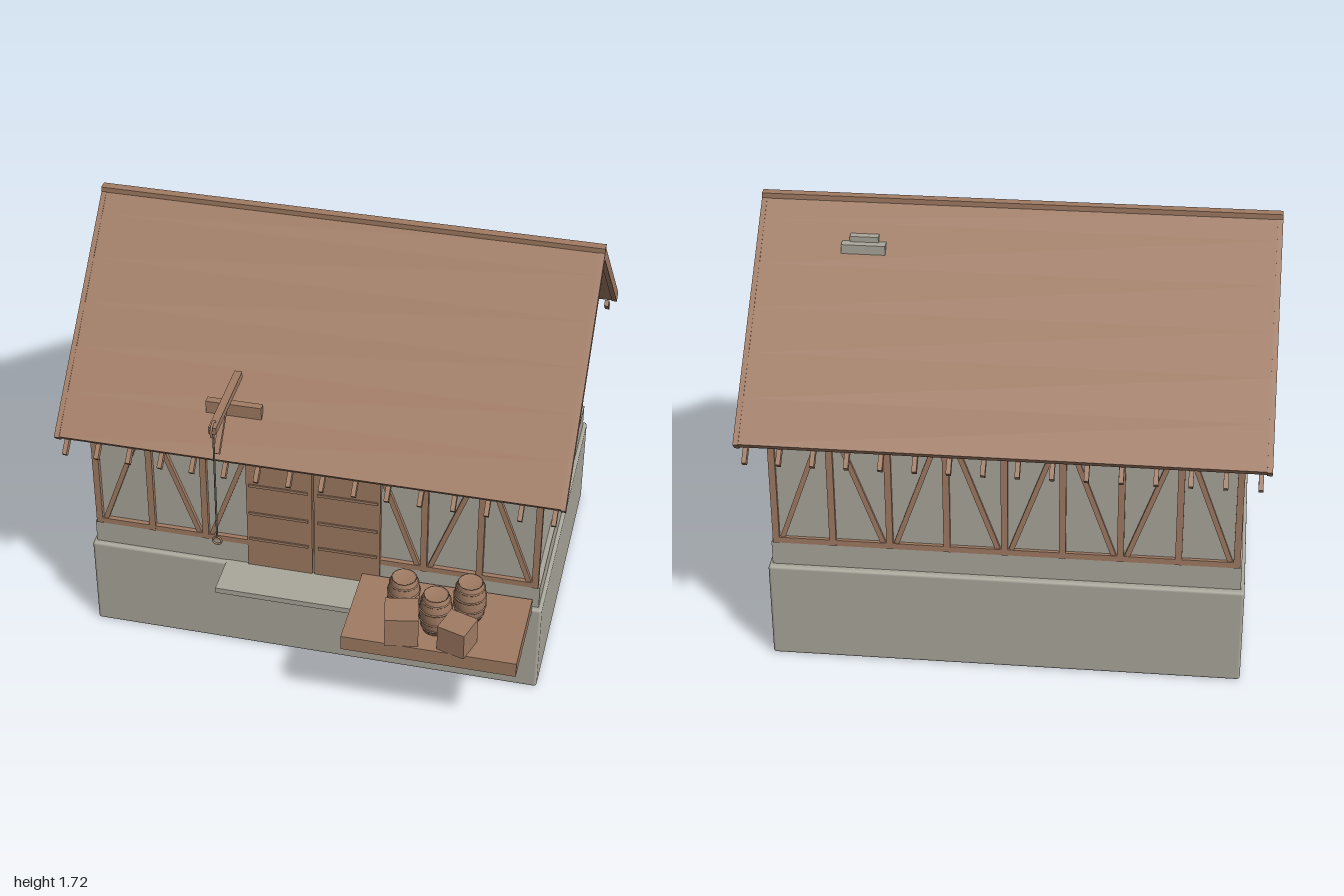
import * as THREE from 'three';
import { RoundedBoxGeometry } from 'three/addons/geometries/RoundedBoxGeometry.js';

const material = (name, color) => {
  const m = new THREE.MeshStandardMaterial({ color });
  m.name = name;
  return m;
};

export function createModel() {
  const wood = material('wood', 0xa07b63);
  const stone = material('stone', 0xaaa79c);
  const iron = material('iron', 0x6f6a62);
  const model = new THREE.Group();
  model.name = 'storehouse';

  const add = (parent, name, geometry, mat, x = 0, y = 0, z = 0) => {
    const mesh = new THREE.Mesh(geometry, mat);
    mesh.name = name;
    mesh.position.set(x, y, z);
    parent.add(mesh);
    return mesh;
  };
  // Box given by its two extreme corners
  const block = (parent, name, mat, x0, x1, y0, y1, z0, z1) =>
    add(parent, name, new THREE.BoxGeometry(x1 - x0, y1 - y0, z1 - z0), mat,
      (x0 + x1) / 2, (y0 + y1) / 2, (z0 + z1) / 2);
  const group = (parent, name) => {
    const g = new THREE.Group();
    g.name = name;
    parent.add(g);
    return g;
  };

  // Stone foundation and plinth
  const midZ = -0.135;
  add(model, 'foundation', new RoundedBoxGeometry(1.85, 0.41, 1.27, 2, 0.012), stone, 0, 0.205, midZ);
  block(model, 'plinth', stone, -0.91, 0.91, 0.4, 0.51, -0.745, 0.48);

  // Walls with gables, one pentagon swept along x
  const gable = new THREE.Shape([
    [-0.735, 0.5], [0.465, 0.5], [0.465, 1.125], [midZ, 1.68], [-0.735, 1.125],
  ].map(([z, y]) => new THREE.Vector2(z, y)));
  const walls = new THREE.ExtrudeGeometry(gable, { depth: 1.78, bevelEnabled: false });
  walls.translate(0, 0, -0.89).rotateY(-Math.PI / 2);
  add(model, 'walls', walls, stone);

  // Timber frame: posts, rails and alternating braces
  const bay = 0.2225;
  const timberFrame = (name, z, hasDoor) => {
    const frame = group(model, name);
    for (let i = 0; i <= 8; i++) {
      if (hasDoor && i > 2 && i < 6) continue;
      const x = -0.89 + i * bay;
      block(frame, 'post', wood, x - 0.013, x + 0.013, 0.51, 1.13, z - 0.013, z + 0.013);
    }
    for (let i = 0; i < 8; i++) {
      if (hasDoor && i > 2 && i < 5) continue;
      const side = i % 2 ? -1 : 1;
      const run = 0.17, rise = 0.48;
      const brace = add(frame, 'brace', new THREE.BoxGeometry(0.02, Math.hypot(run, rise), 0.018), wood,
        -0.89 + (i + 0.5) * bay, 0.775, z);
      brace.rotation.z = -side * Math.atan2(run, rise);
    }
    const spans = hasDoor ? [[-0.89, -0.27], [0.27, 0.89]] : [[-0.89, 0.89]];
    for (const [a, b] of spans) {
      block(frame, 'lowerRail', wood, a, b, 0.51, 0.535, z - 0.012, z + 0.012);
      block(frame, 'upperRail', wood, a, b, 1.02, 1.045, z - 0.012, z + 0.012);
    }
  };
  timberFrame('frontFrame', 0.472, true);
  timberFrame('backFrame', -0.737, false);

  // Double front door with battens, lintel and doorstep
  const door = group(model, 'frontDoor');
  for (const s of [-1, 1]) {
    add(door, 'doorLeaf', new THREE.BoxGeometry(0.266, 0.55, 0.025), wood, s * 0.137, 0.685, 0.475);
    for (const y of [0.55, 0.68, 0.82, 0.94]) {
      add(door, 'batten', new THREE.BoxGeometry(0.24, 0.012, 0.006), wood, s * 0.14, y, 0.49);
    }
  }
  block(model, 'frontLintel', stone, -0.32, 0.32, 0.96, 1.01, 0.46, 0.515);
  block(model, 'doorstep', stone, -0.36, 0.36, 0.388, 0.412, 0.48, 0.66);

  // Side door on the left gable
  block(model, 'sideDoor', wood, 0.88, 0.905, 0.505, 0.76, -0.39, -0.22);
  block(model, 'sideLintel', stone, 0.88, 0.922, 0.76, 0.79, -0.43, -0.18);

  // Roof slopes with overlapping courses, edge boards and rafter tails
  const roof = group(model, 'roof');
  roof.position.set(0, 1.712, midZ);
  const slopeLength = 1.015, pitch = Math.atan2(0.69, 0.75);
  for (const turn of [0, Math.PI]) {
    const side = group(roof, turn ? 'backSlope' : 'frontSlope');
    side.rotation.y = turn;
    const slope = group(side, 'slope');
    slope.rotation.x = pitch;
    block(slope, 'roofDeck', wood, -0.985, 0.985, -0.035, -0.004, 0, slopeLength);
    const course = 0.181;
    for (let i = 0; i < 6; i++) {
      const end = slopeLength - i * course;
      const start = Math.max(0, end - course);
      const plank = block(slope, 'roofCourse', wood, -0.985, 0.985, -0.006, 0.002, start, end);
      plank.rotation.x = 0.02;
    }
    for (const x of [-0.99, 0.99]) {
      block(slope, 'edgeBoard', wood, x - 0.01, x + 0.01, -0.037, 0.004, 0, slopeLength + 0.004);
    }
    for (let i = 0; i < 16; i++) {
      add(slope, 'rafterTail', new THREE.BoxGeometry(0.018, 0.026, 0.08), wood, -0.96 + i * 0.128, -0.053, 1.034);
    }
  }
  block(model, 'ridgeCap', wood, -1, 1, 1.695, 1.72, -0.153, -0.117);

  // Small stone vent on the back slope
  block(model, 'ventBase', stone, 0.5, 0.67, 1.55, 1.59, -0.31, -0.27);
  block(model, 'ventTop', stone, 0.53, 0.64, 1.575, 1.612, -0.28, -0.25);

  // Hoist with beam, brace, pulley, rope and ring
  const hoist = group(model, 'hoist');
  hoist.position.x = -0.31;
  block(hoist, 'backPlate', wood, -0.11, 0.11, 0.945, 1.2, 0.455, 0.485);
  block(hoist, 'beam', wood, -0.015, 0.015, 1.27, 1.3, 0.4, 0.77);
  const strut = add(hoist, 'strut', new THREE.BoxGeometry(0.022, 0.022, 0.17), wood, 0, 1.208, 0.667);
  strut.rotation.x = 0.83;
  const pulley = add(hoist, 'pulley', new THREE.TorusGeometry(0.029, 0.005, 8, 24), wood, 0, 1.285, 0.757);
  pulley.rotation.y = Math.PI / 2;
  const rope = new THREE.LineCurve3(new THREE.Vector3(0, 1.275, 0.757), new THREE.Vector3(0, 0.77, 0.765));
  add(hoist, 'rope', new THREE.TubeGeometry(rope, 1, 0.004, 8), iron);
  add(hoist, 'hookRing', new THREE.TorusGeometry(0.017, 0.004, 8, 20), wood, 0, 0.755, 0.765);

  // Loading platform with barrels and crates
  const platformTop = 0.455;
  block(model, 'platform', wood, 0.2, 0.885, 0.39, platformTop, 0.49, 0.868);
  const barrelProfile = [[0, 0], [0.05, 0], [0.06, 0.04], [0.064, 0.085], [0.06, 0.13], [0.05, 0.17], [0.046, 0.17],
    [0.045, 0.163], [0, 0.163]].map(([r, y]) => new THREE.Vector2(r, y));
  for (const [x, z] of [[0.405, 0.665], [0.66, 0.635], [0.545, 0.735]]) {
    const barrel = group(model, 'barrel');
    barrel.position.set(x, platformTop, z);
    add(barrel, 'staves', new THREE.LatheGeometry(barrelProfile, 20), wood);
    for (const [r, y] of [[0.055, 0.022], [0.062, 0.06], [0.062, 0.11], [0.055, 0.148]]) {
      const hoop = add(barrel, 'hoop', new THREE.TorusGeometry(r, 0.004, 6, 20), wood, 0, y, 0);
      hoop.rotation.x = Math.PI / 2;
    }
  }
  for (const [x, z, size, turn] of [[0.425, 0.805, 0.13, 0.2], [0.645, 0.815, 0.115, -0.3]]) {
    const crate = add(model, 'crate', new THREE.BoxGeometry(size, size, size), wood, x, platformTop + size / 2, z);
    crate.rotation.y = turn;
  }
  return model;
}
